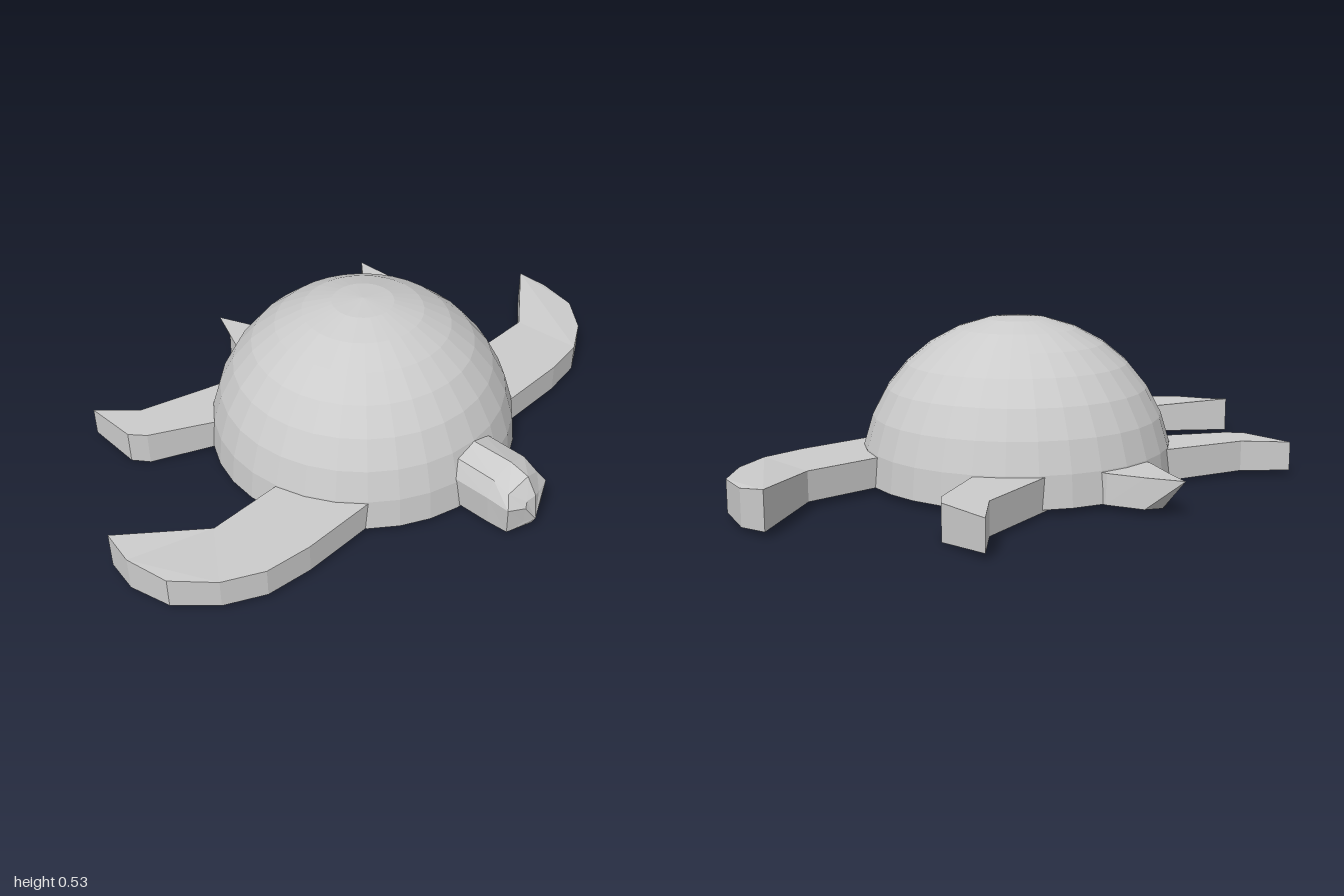
import * as THREE from 'three';

const material = new THREE.MeshStandardMaterial({ color: 0xcccccc, flatShading: true });

function addMesh(group, name, geometry) {
  const mesh = new THREE.Mesh(geometry, material);
  mesh.name = name;
  group.add(mesh);
  return mesh;
}

function facets(positions, index) {
  const geometry = new THREE.BufferGeometry();
  geometry.setAttribute('position', new THREE.Float32BufferAttribute(positions, 3));
  geometry.setIndex(index);
  const flat = geometry.toNonIndexed();
  flat.computeVertexNormals();
  return flat;
}

// Slab between a bottom and a top outline of [x, y, z] corners
function slab(bottom, top) {
  const n = top.length;
  const flat = (ring) => ring.map(([x, , z]) => new THREE.Vector2(x, -z));
  if (THREE.ShapeUtils.isClockWise(flat(top))) {
    bottom = [...bottom].reverse();
    top = [...top].reverse();
  }
  const index = [];
  for (const [a, b, c] of THREE.ShapeUtils.triangulateShape(flat(top), [])) index.push(n + a, n + b, n + c);
  for (const [a, b, c] of THREE.ShapeUtils.triangulateShape(flat(bottom), [])) index.push(c, b, a);
  for (let i = 0; i < n; i++) {
    const j = (i + 1) % n;
    index.push(i, j, n + j, i, n + j, n + i);
  }
  return facets([...bottom, ...top].flat(), index);
}

// Flipper outline rows: x, z, bottom y, top y
function flipper(outline, side) {
  return slab(
    outline.map(([x, z, low]) => [x * side, low, z]),
    outline.map(([x, z, , high]) => [x * side, high, z]),
  );
}

// Closed loft through rings with equal corner counts, rings advancing along +z
function loft(rings) {
  const n = rings[0].length;
  const index = [];
  for (let r = 0; r < rings.length - 1; r++) {
    for (let i = 0; i < n; i++) {
      const a = r * n + i, b = r * n + (i + 1) % n;
      index.push(a, b, b + n, a, b + n, a + n);
    }
  }
  const last = (rings.length - 1) * n;
  for (let i = 1; i < n - 1; i++) {
    index.push(0, i + 1, i);
    index.push(last, last + i, last + i + 1);
  }
  return facets(rings.flat(2), index);
}

// Head section; z can lead at the middle line
function headRing(half, low, mid, shoulder, crown, zLow, zMid, zTop, lead) {
  return [
    [0, low, zLow + lead], [half * 0.9, low, zLow], [half, mid, zMid], [half * 0.75, shoulder, zTop],
    [0, crown, zTop + lead * 0.5],
    [-half * 0.75, shoulder, zTop], [-half, mid, zMid], [-half * 0.9, low, zLow],
  ];
}

export function createModel() {
  const model = new THREE.Group();
  model.name = 'turtle';

  // Domed shell and flat belly
  const shell = addMesh(model, 'shell', new THREE.SphereGeometry(0.51, 32, 8, 0, Math.PI * 2, 0, Math.PI / 2));
  shell.position.y = 0.02;
  const belly = addMesh(model, 'belly', new THREE.CircleGeometry(0.51, 32).rotateX(Math.PI / 2));
  belly.position.y = 0.02;

  // Swept-back front flippers and short rear flippers
  const front = [
    [0.33, 0.355, 0.02, 0.115], [0.6, 0.355, 0.02, 0.115], [0.75, 0.335, 0.02, 0.115],
    [0.87, 0.27, 0.02, 0.115], [0.97, 0.16, 0.018, 0.118], [1, 0.02, 0.012, 0.125],
    [0.985, -0.085, 0.02, 0.14], [0.74, 0.095, 0.02, 0.115], [0.46, 0.095, 0.02, 0.115],
  ];
  const rear = [
    [0.4, -0.27, 0.015, 0.115], [0.61, -0.385, 0.002, 0.115], [0.65, -0.435, 0.005, 0.115],
    [0.65, -0.62, 0.02, 0.115], [0.54, -0.505, 0.015, 0.115], [0.25, -0.42, 0.012, 0.115],
  ];
  for (const [side, label] of [[1, 'left'], [-1, 'right']]) {
    addMesh(model, label + 'FrontFlipper', flipper(front, side));
    addMesh(model, label + 'RearFlipper', flipper(rear, side));
  }

  // Tail with an overhanging raised tip
  addMesh(model, 'tail', slab(
    [[-0.1, 0.02, -0.48], [-0.1, 0.02, -0.51], [-0.05, 0.02, -0.62], [0, 0.02, -0.645],
      [0.05, 0.02, -0.62], [0.1, 0.02, -0.51], [0.1, 0.02, -0.48]],
    [[-0.1, 0.115, -0.48], [-0.095, 0.115, -0.51], [-0.047, 0.115, -0.62], [0, 0.118, -0.73],
      [0.047, 0.115, -0.62], [0.095, 0.115, -0.51], [0.1, 0.115, -0.48]],
  ));

  // Blunt faceted head
  addMesh(model, 'head', loft([
    headRing(0.1, 0.025, 0.13, 0.19, 0.213, 0.43, 0.43, 0.43, 0),
    headRing(0.1, 0.025, 0.13, 0.185, 0.213, 0.61, 0.61, 0.61, 0.01),
    headRing(0.095, 0.025, 0.12, 0.16, 0.195, 0.68, 0.685, 0.665, 0.03),
    headRing(0.04, 0.05, 0.11, 0.13, 0.14, 0.705, 0.71, 0.705, 0.018),
  ]));

  return model;
}
